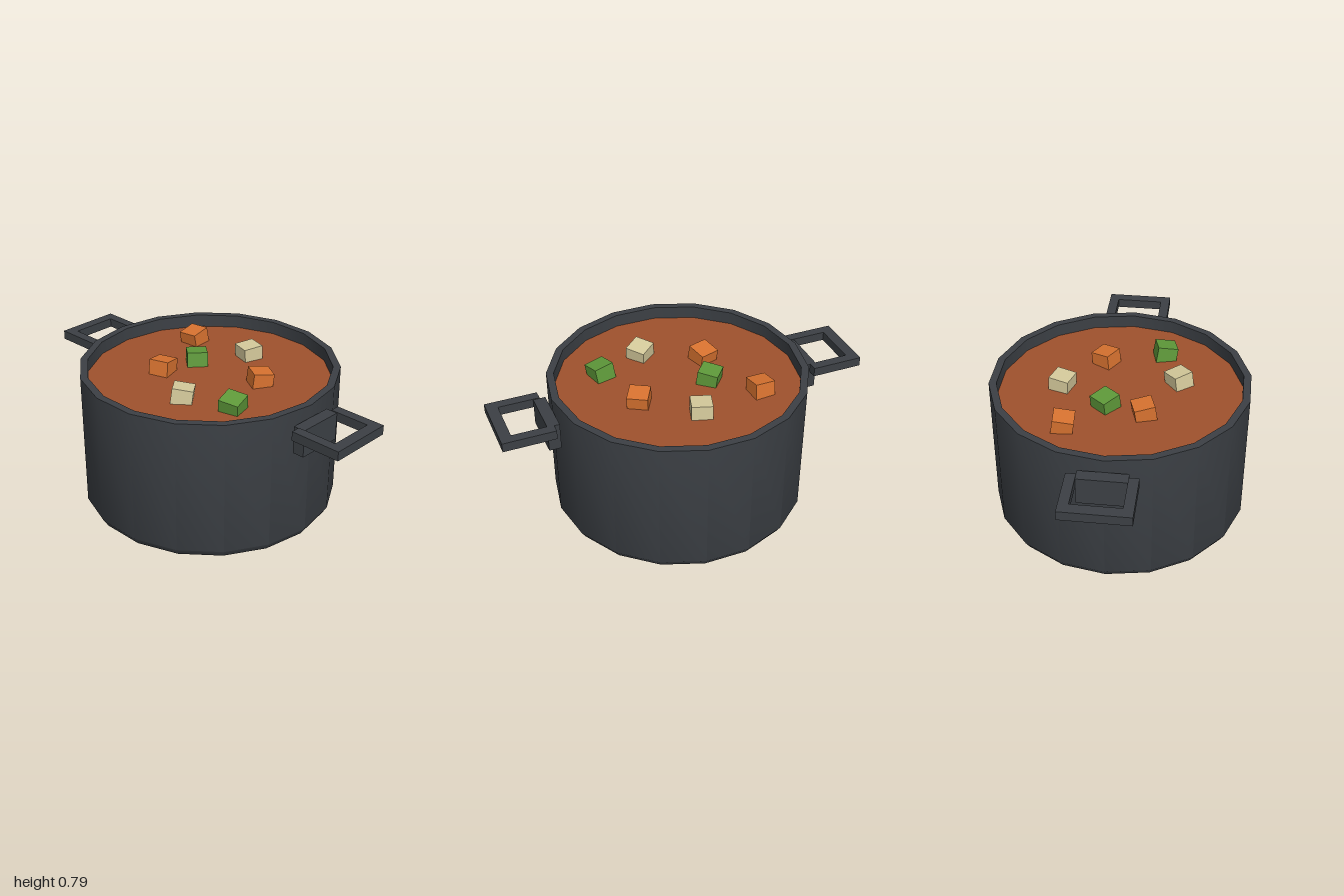
import * as THREE from 'three';
import { toCreasedNormals } from 'three/addons/utils/BufferGeometryUtils.js';

const SIDES = 18;
const TURN = Math.PI / SIDES; // puts a corner of the pot on the x axis

const paint = (color) => new THREE.MeshStandardMaterial({ color });

function add(parent, name, geometry, material, x = 0, y = 0, z = 0) {
  const mesh = new THREE.Mesh(geometry, material);
  mesh.name = name;
  mesh.position.set(x, y, z);
  parent.add(mesh);
  return mesh;
}

export function createModel() {
  const model = new THREE.Group();
  model.name = 'stewPot';
  const iron = paint(0x3c4045);

  // Pot: chamfered foot, straight wall, flat rim and hollow inside
  const profile = [[0, 0], [0.665, 0], [0.69, 0.04], [0.69, 0.77], [0.65, 0.77], [0.65, 0.05], [0, 0.05]]
    .map(([r, y]) => new THREE.Vector2(r, y));
  const pot = new THREE.LatheGeometry(profile, SIDES, TURN);
  add(model, 'pot', toCreasedNormals(pot, 0.6), iron);

  // Stew surface, just below the rim
  const stew = new THREE.CylinderGeometry(0.65, 0.65, 0.04, SIDES, 1, false, TURN);
  add(model, 'stew', stew, paint(0xa0522d), 0, 0.68, 0);

  // Handles: a bracket on the wall carrying a square loop
  for (const side of [1, -1]) {
    const handle = new THREE.Group();
    handle.name = side > 0 ? 'leftHandle' : 'rightHandle';
    add(handle, 'bracket', new THREE.BoxGeometry(0.065, 0.148, 0.254), iron, side * 0.7225, 0.627, 0);
    add(handle, 'grip', new THREE.BoxGeometry(0.06, 0.05, 0.356), iron, side * 0.97, 0.68, 0);
    for (const z of [0.152, -0.152]) {
      add(handle, 'arm', new THREE.BoxGeometry(0.22, 0.05, 0.052), iron, side * 0.83, 0.68, z);
    }
    model.add(handle);
  }

  // Floating chunks: x, z, yaw, tilt about x, tilt about z
  const chunks = {
    carrot: [0xd97330, [[-0.36, -0.25, 0.08, 0.15, 0.04], [0.26, -0.11, -0.52, -0.1, -0.06], [-0.205, 0.145, 0.3, -0.15, 0.05]]],
    herb: [0x5f9a3a, [[-0.155, -0.06, -0.71, -0.08, 0.08], [0.36, 0.205, 0.24, 0.14, -0.13]]],
    potato: [0xd6cb9c, [[0, -0.31, -0.3, 0.05, 0.03], [0.1, 0.3, 0.68, -0.14, -0.06]]],
  };
  const cube = new THREE.BoxGeometry(0.11, 0.1, 0.11);
  for (const [name, [color, spots]] of Object.entries(chunks)) {
    const material = paint(color);
    for (const [x, z, yaw, tiltX, tiltZ] of spots) {
      const chunk = add(model, name + 'Chunk', cube, material, x, 0.724, z);
      chunk.rotation.set(tiltX, yaw, tiltZ, 'XZY');
    }
  }
  return model;
}
